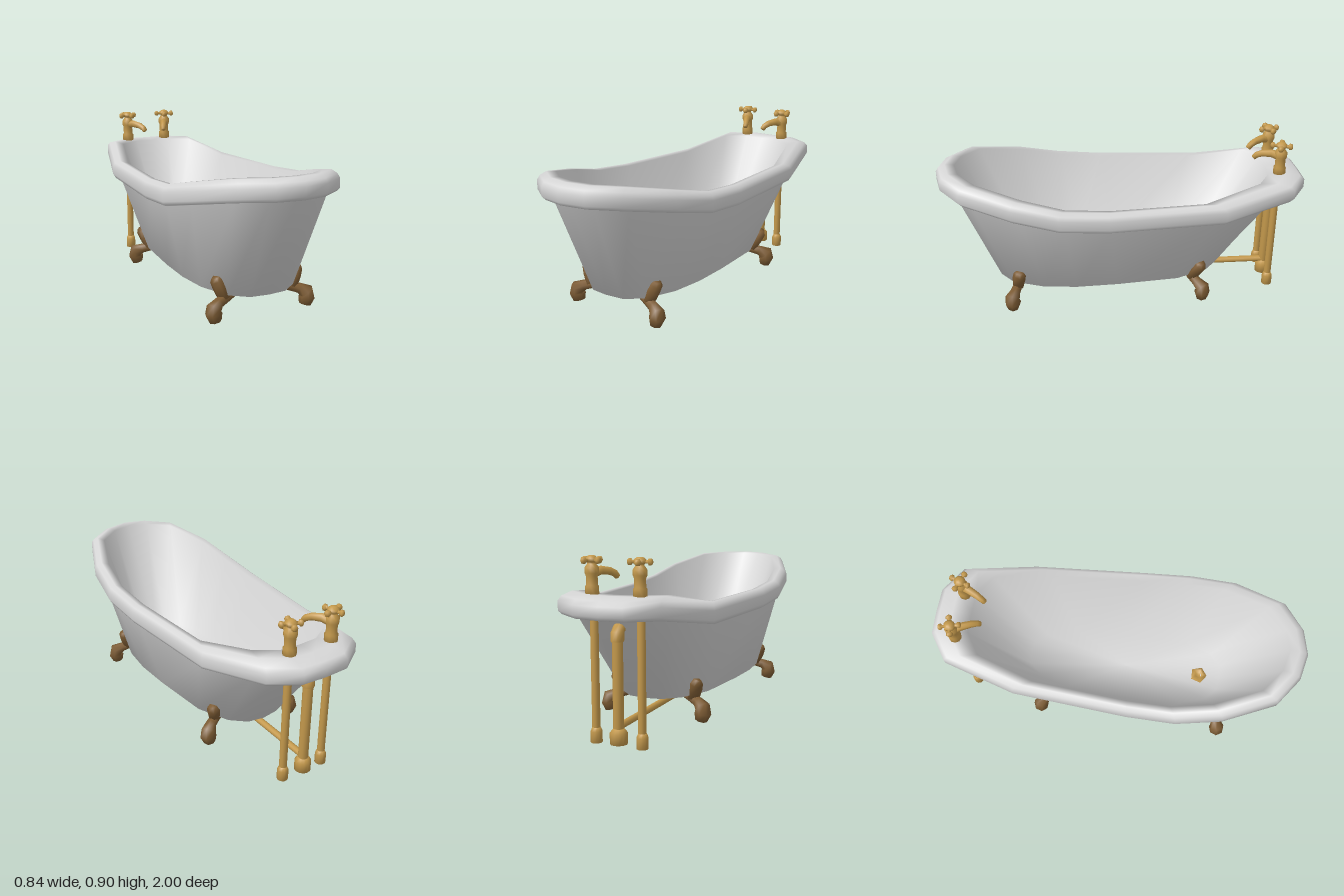
import * as THREE from 'three';

const enamel = new THREE.MeshStandardMaterial({ color: 0xd6d6d6 });
enamel.name = 'white enamel';
const brass = new THREE.MeshStandardMaterial({ color: 0xc4994c });
brass.name = 'brass';
const bronze = new THREE.MeshStandardMaterial({ color: 0x7d5c34 });
bronze.name = 'dark bronze';

// Joins closed rings of points; rings run counter-clockwise seen from the end they grow toward
function skin(rings) {
  const n = rings[0].length, index = [];
  for (let i = 0; i < rings.length - 1; i++) {
    for (let j = 0; j < n; j++) {
      const k = (j + 1) % n, a = i * n, b = a + n;
      index.push(a + j, a + k, b + k, a + j, b + k, b + j);
    }
  }
  const g = new THREE.BufferGeometry();
  g.setAttribute('position', new THREE.Float32BufferAttribute(rings.flat(2), 3));
  g.setIndex(index);
  g.computeVertexNormals();
  return g;
}

function add(parent, name, geometry, material, x = 0, y = 0, z = 0) {
  const m = new THREE.Mesh(geometry, material);
  m.name = name;
  m.position.set(x, y, z);
  parent.add(m);
}

function lathe(profile, sides) {
  return new THREE.LatheGeometry(profile.map(p => new THREE.Vector2(...p)), sides);
}

// Capped tube along [x, y, z, radius] stations
function limb(stations, sides = 8) {
  const p = stations.map(s => new THREE.Vector3(s[0], s[1], s[2]));
  let u = null;
  const rings = p.map((c, i) => {
    const t = p[Math.min(i + 1, p.length - 1)].clone().sub(p[Math.max(i - 1, 0)]).normalize();
    if (!u) u = Math.abs(t.x) < 0.8 ? new THREE.Vector3(1, 0, 0) : new THREE.Vector3(0, 0, 1);
    u = u.clone().addScaledVector(t, -u.dot(t)).normalize();
    const v = t.clone().cross(u);
    return Array.from({ length: sides }, (_, j) => {
      const a = (j / sides) * Math.PI * 2, r = stations[i][3];
      return c.clone().addScaledVector(u, Math.cos(a) * r).addScaledVector(v, Math.sin(a) * r).toArray();
    });
  });
  const cap = c => Array.from({ length: sides }, () => c.toArray());
  return skin([cap(p[0]), ...rings, cap(p[p.length - 1])]);
}

// Half outlines from the front to the back: rim [x, z, top height] and base [x, z]
const RIM = [[0, 1, 0.8], [0.135, 0.97, 0.797], [0.278, 0.865, 0.788], [0.388, 0.6, 0.735], [0.422, 0.36, 0.683],
  [0.415, 0.1, 0.663], [0.37, -0.52, 0.658], [0.27, -0.9, 0.72], [0.13, -0.995, 0.72], [0, -1, 0.718]];
const BASE = [[0, 0.7], [0.1, 0.69], [0.19, 0.62], [0.255, 0.45], [0.275, 0.27],
  [0.27, 0.05], [0.243, -0.29], [0.17, -0.465], [0.09, -0.535], [0, -0.55]];
const mirror = half => [...half, ...half.slice(1, -1).reverse().map(([x, ...r]) => [-x, ...r])];

// Rim outline scaled in x, front z and back z, lowered from the rim top
const rimRing = (sx, sf, sb, drop) => mirror(RIM).map(([x, z, h]) => [x * sx, h - drop, z * (z > 0 ? sf : sb)]);
const baseRing = (sx, sf, sb, y) => mirror(BASE).map(([x, z]) => [x * sx, y, z * (z > 0 ? sf : sb)]);

function buildTub(group) {
  const base = baseRing(1, 1, 1, 0.155);
  const centre = (y, z) => base.map(() => [0, y, z]);
  // One smooth shell: underside, outer wall, rolled rim, basin
  add(group, 'tubShell', skin([
    centre(0.155, 0.07),
    base,
    rimRing(0.92, 0.925, 0.86, 0.117),
    rimRing(0.975, 0.98, 0.975, 0.105),
    rimRing(1, 1, 1, 0.085),
    rimRing(1, 1, 1, 0.038),
    rimRing(0.975, 0.985, 0.975, 0.016),
    rimRing(0.92, 0.95, 0.9, 0),
    rimRing(0.84, 0.9, 0.8, 0.006),
    baseRing(0.74, 0.86, 0.96, 0.205),
    centre(0.195, 0.05),
  ]), enamel);
  const drain = [[0.05, -0.02], [0.047, 0.008], [0.026, 0.012], [0.018, -0.004], [0, -0.004]];
  add(group, 'drainPlug', lathe(drain, 5), brass, 0, 0.207, 0.48);
}

// Leaf on the wall, bracket beneath the base, and rounded pad; z at leaf top, leaf root and pad
function buildFoot(group, name, side, zTop, zRoot, zPad) {
  const foot = new THREE.Group();
  foot.name = name;
  const at = (x, y, z, r) => [x * side, y, z, r];
  const mid = (zRoot + zPad) / 2;
  add(foot, 'footLeaf', limb([at(0.237, 0.246, zTop, 0.022), at(0.23, 0.228, zTop, 0.036),
    at(0.215, 0.19, (zTop + zRoot) / 2, 0.038), at(0.195, 0.135, zRoot, 0.032)], 7), bronze);
  add(foot, 'footPad', limb([at(0.13, 0.15, zRoot, 0.01), at(0.185, 0.137, zRoot, 0.026), at(0.235, 0.122, mid, 0.028),
    at(0.27, 0.105, zPad, 0.04), at(0.272, 0.075, zPad, 0.044), at(0.262, 0.036, zPad, 0.032)], 7), bronze);
  group.add(foot);
}

// Pillar tap with a cross handle and a spout leaning toward the middle
function buildTap(group, name, x, reach, turn) {
  const tap = new THREE.Group();
  tap.name = name;
  tap.position.set(x, 0, -0.855);
  add(tap, 'tapBody', lathe([[0, 0.7], [0.034, 0.7], [0.034, 0.752], [0.028, 0.76], [0.028, 0.8], [0.034, 0.815],
    [0.034, 0.84], [0.021, 0.858], [0.02, 0.866], [0.03, 0.87], [0.03, 0.884], [0.015, 0.896], [0, 0.897]], 9), brass);
  add(tap, 'tapSpout', limb([[0, 0.812, 0, 0.024], [reach * 0.35, 0.825, 0.045, 0.022],
    [reach * 0.7, 0.818, 0.09, 0.019], [reach * 0.92, 0.804, 0.118, 0.017], [reach, 0.788, 0.132, 0.015]], 7), brass);
  const handle = new THREE.Group();
  handle.name = 'crossHandle';
  handle.position.y = 0.875;
  handle.rotation.y = turn;
  for (let i = 0; i < 4; i++) {
    const a = (i * Math.PI) / 2, c = Math.cos(a), s = Math.sin(a);
    const arm = [[0, 0.01], [0.036, 0.009], [0.041, 0.017], [0.053, 0.017], [0.059, 0.009]];
    add(handle, 'handleArm', limb(arm.map(([d, r]) => [c * d, 0, s * d, r]), 6), brass);
  }
  tap.add(handle);
  group.add(tap);
}

function buildPipes(group) {
  // Supply pipes with floor collars
  for (const x of [-0.145, 0.103]) {
    add(group, 'supplyPipe', limb([[x, 0.05, -0.85, 0.02], [x, 0.66, -0.85, 0.02]], 10), brass);
    add(group, 'supplyCollar', limb([[x, 0, -0.85, 0.029], [x, 0.055, -0.85, 0.029], [x, 0.075, -0.85, 0.02]], 10), brass);
  }
  // Overflow riser bending into the back wall
  const x = -0.022;
  add(group, 'overflowPipe', limb([[x, 0.05, -0.855, 0.026], [x, 0.5, -0.855, 0.026], [x, 0.502, -0.855, 0.032],
    [x, 0.54, -0.852, 0.032], [x, 0.562, -0.835, 0.03], [x, 0.565, -0.79, 0.026]], 10), brass);
  add(group, 'wasteCollar', limb([[x, 0.01, -0.855, 0.043], [x, 0.065, -0.855, 0.043], [x, 0.085, -0.855, 0.026]], 12), brass);
  // Waste pipe below the tub with an elbow up to the drain
  add(group, 'wastePipe', limb([[x, 0.092, -0.85, 0.018], [x, 0.107, 0.44, 0.018]], 10), brass);
  add(group, 'wasteElbow', limb([[x, 0.107, 0.42, 0.021], [x, 0.108, 0.46, 0.024],
    [x, 0.125, 0.482, 0.028], [x, 0.165, 0.49, 0.031]], 10), brass);
}

export function createModel() {
  const group = new THREE.Group();
  group.name = 'freestandingBathtub';
  buildTub(group);
  for (const side of [1, -1]) {
    const word = side > 0 ? 'Left' : 'Right';
    buildFoot(group, 'front' + word + 'Foot', side, 0.58, 0.595, 0.628);
    buildFoot(group, 'rear' + word + 'Foot', side, -0.42, -0.375, -0.428);
  }
  buildTap(group, 'rightTap', -0.145, 0.065, 0.25);
  buildTap(group, 'leftTap', 0.107, -0.06, -0.35);
  buildPipes(group);
  return group;
}
